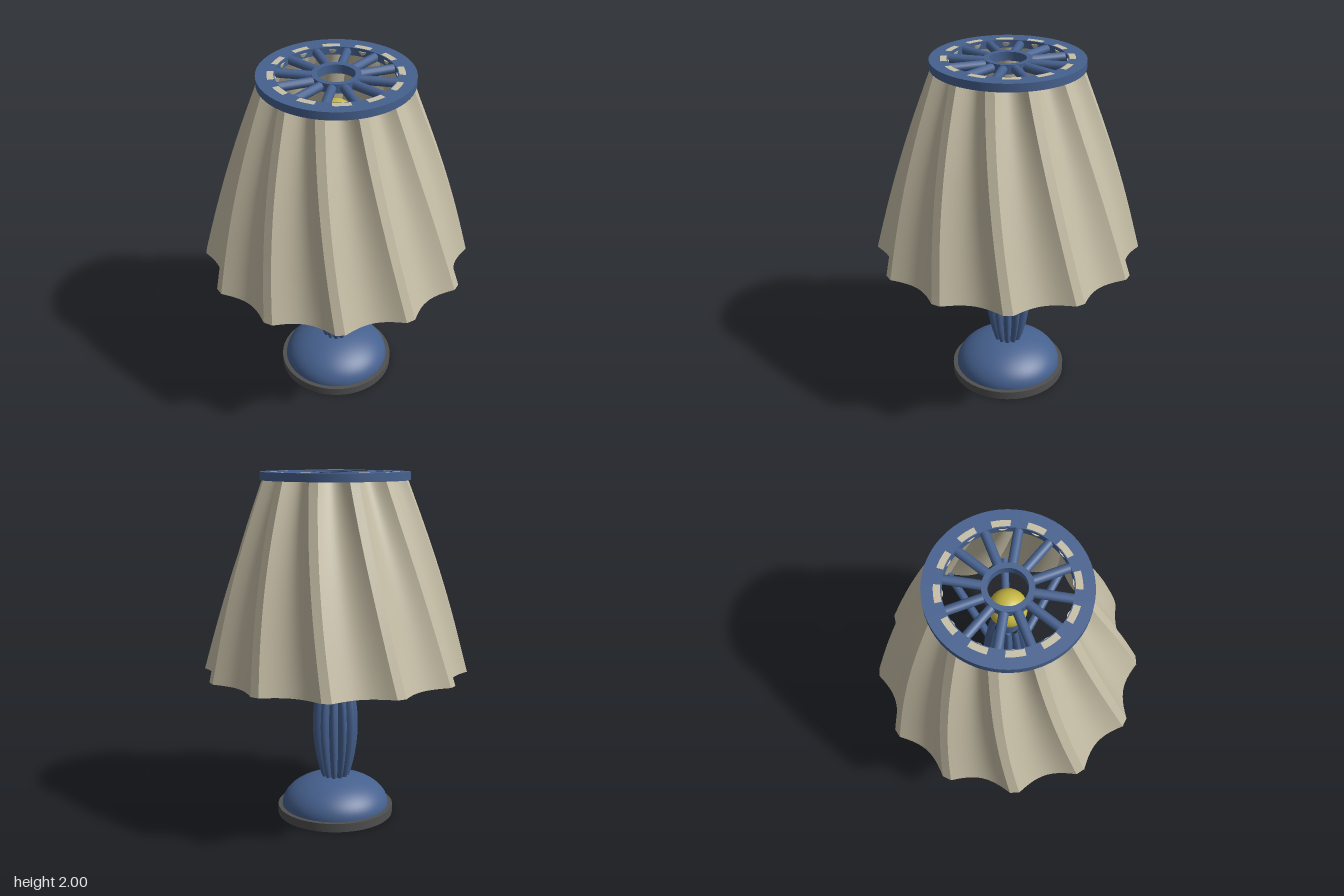
import * as THREE from 'three';
import { toCreasedNormals } from 'three/addons/utils/BufferGeometryUtils.js';

const paint = (color) => new THREE.MeshStandardMaterial({ color });
const blue = paint(0x46618f), cream = paint(0xc6bea6), grey = paint(0x505050), yellow = paint(0xc9b945);
const RAD = Math.PI / 180;

function mesh(name, geometry, material, y = 0) {
  const m = new THREE.Mesh(geometry, material);
  m.name = name;
  m.position.y = y;
  return m;
}

// Closed surface around the y axis; point(row, col) returns [radius, angle, y]
function loft(rows, cols, point, crease) {
  const pos = [], index = [];
  for (let j = 0; j < rows; j++) for (let i = 0; i < cols; i++) {
    const [r, a, y] = point(j, i);
    pos.push(r * Math.cos(a), y, -r * Math.sin(a));
  }
  for (let j = 0; j < rows - 1; j++) for (let i = 0; i < cols; i++) {
    const k = (i + 1) % cols, a = j * cols + i, b = j * cols + k;
    index.push(a, b, b + cols, a, b + cols, a + cols);
  }
  const g = new THREE.BufferGeometry();
  g.setAttribute('position', new THREE.Float32BufferAttribute(pos, 3));
  g.setIndex(index);
  return toCreasedNormals(g, crease);
}

// Twelve scalloped pleats that twist gently as they rise, with a wall thinning upward
function shadeGeometry() {
  const y0 = 0.87, y1 = 1.985, steps = 28, perPleat = 12;
  const path = [];
  for (let j = 0; j <= steps; j++) path.push([j / steps, 0]);
  for (let j = steps; j >= 0; j--) path.push([j / steps, 0.062 - 0.03 * (j / steps)]);
  path.push([0, 0]);
  return loft(path.length, 12 * perPleat, (j, i) => {
    const [t, inset] = path[j], k = i % perPleat;
    // the first two columns bound the flat pleat edge, the rest span the scallop
    const half = 2 + 1.5 * t * t;
    const s = k === 0 ? 0 : (k - 1) / (perPleat - 1);
    const offset = k === 0 ? -half : half + s * (30 - 2 * half);
    const dip = 1 - (1 - 2 * s) ** 2;
    const R = 0.76 - 0.36 * t + 0.02 * Math.sin(Math.PI * t);
    const depth = 0.068 - 0.012 * t;
    const angle = 17 + 30 * Math.floor(i / perPleat) + offset - 13 * t;
    return [R - depth * dip - inset, angle * RAD, y0 + (y1 - y0) * t];
  }, 0.5);
}

// Swelling column made of twelve rounded ribs
function spindleGeometry(height) {
  const rows = 22, perRib = 8;
  return loft(rows, 12 * perRib, (j, i) => {
    const t = j / (rows - 1), a = (i / (12 * perRib)) * Math.PI * 2;
    const R = 0.08 + 0.053 * Math.sin(Math.PI * t) ** 0.85;
    return [R * (0.77 + 0.23 * Math.abs(Math.sin(6 * a))), a, t * height];
  }, 0.7);
}

// Flat band with a square section
function band(inner, outer, y0, y1) {
  const pts = [[inner, y0], [outer, y0], [outer, y1], [inner, y1], [inner, y0]];
  return toCreasedNormals(new THREE.LatheGeometry(pts.map(p => new THREE.Vector2(...p)), 64), 0.5);
}

// Twelve round rods reaching outward from a hub
function spokes(name, from, to, y, radius, startAngle) {
  const group = new THREE.Group();
  group.name = name;
  const geo = new THREE.CylinderGeometry(radius, radius, to - from, 12);
  geo.rotateZ(Math.PI / 2).translate((from + to) / 2, y, 0);
  for (let i = 0; i < 12; i++) {
    const rod = mesh('spoke', geo, blue);
    rod.rotation.y = (startAngle + 30 * i) * RAD;
    group.add(rod);
  }
  return group;
}

export function createModel() {
  const lamp = new THREE.Group();
  lamp.name = 'tableLamp';

  // Base: dark foot and domed cover
  lamp.add(mesh('foot', new THREE.CylinderGeometry(0.34, 0.34, 0.05, 64), grey, 0.025));
  const dome = new THREE.SphereGeometry(1, 48, 16, 0, Math.PI * 2, 0, Math.PI / 2);
  dome.scale(0.315, 0.18, 0.315);
  lamp.add(mesh('baseDome', dome, blue, 0.05));

  // Ribbed column in two stages with a hub between
  lamp.add(mesh('lowerColumn', spindleGeometry(0.64), blue, 0.22));
  const hub = new THREE.SphereGeometry(1, 40, 12).scale(0.13, 0.02, 0.13);
  lamp.add(mesh('lowerHub', hub, blue, 0.86));
  lamp.add(mesh('upperColumn', spindleGeometry(0.7), blue, 0.87));

  // Bulb
  lamp.add(mesh('bulbSocket', new THREE.CylinderGeometry(0.06, 0.065, 0.12, 24), blue, 1.62));
  lamp.add(mesh('bulb', new THREE.SphereGeometry(0.1, 32, 20), yellow, 1.745));

  // Shade and its supporting frame
  lamp.add(mesh('pleatedShade', shadeGeometry(), cream));
  lamp.add(spokes('lowerSpokes', 0.08, 0.685, 0.895, 0.024, 16));
  lamp.add(spokes('upperSpokes', 0.115, 0.335, 1.974, 0.025, 5));
  lamp.add(mesh('topRing', band(0.32, 0.42, 1.955, 2), blue));
  lamp.add(mesh('topHub', band(0.1, 0.13, 1.95, 2), blue));

  // Pleat ends showing through the top ring
  const ends = new THREE.Group();
  ends.name = 'pleatEnds';
  const end = new THREE.RingGeometry(0.325, 0.36, 6, 1, -8 * RAD, 16 * RAD).rotateX(-Math.PI / 2);
  for (let i = 0; i < 12; i++) {
    const e = mesh('pleatEnd', end, cream, 2.001);
    e.rotation.y = (20 + 30 * i) * RAD;
    ends.add(e);
  }
  lamp.add(ends);
  return lamp;
}
